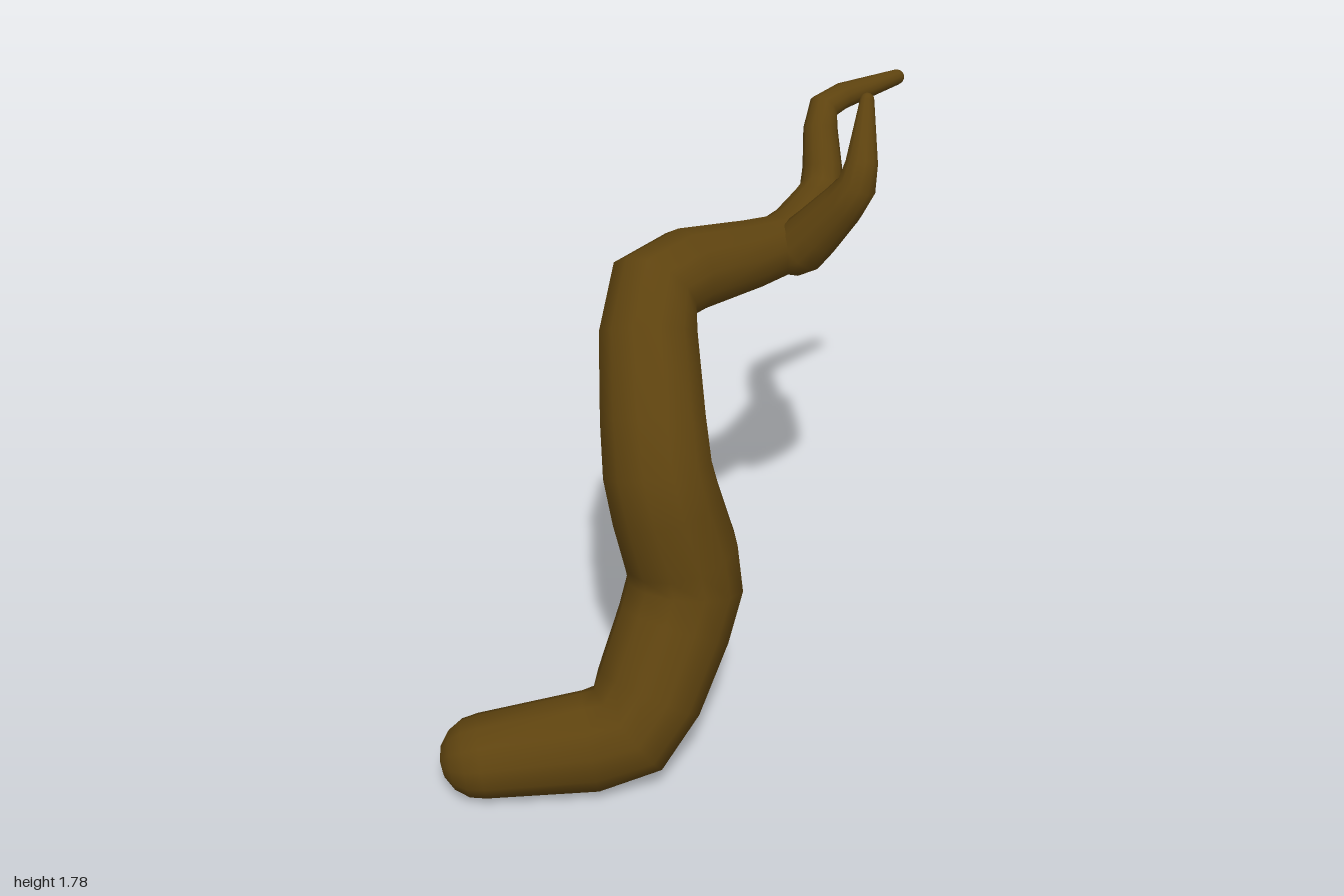
import * as THREE from 'three';

const SIDES = 12;

// Round each bend: enter, corner and exit samples, as Vector4 (x, y, z, radius)
function softenPath(points) {
  const p = points.map((a) => new THREE.Vector4(...a));
  const out = [p[0]];
  for (let i = 1; i < p.length - 1; i++) {
    const enter = p[i].clone().lerp(p[i - 1], 0.28);
    const exit = p[i].clone().lerp(p[i + 1], 0.28);
    const mid = enter.clone().lerp(exit, 0.5).lerp(p[i], 0.62);
    out.push(enter, mid, exit);
  }
  out.push(p[p.length - 1]);
  return out;
}

// Tapering limb with rounded ends, swept along a bent path
function limb(points, material, name) {
  const path = softenPath(points);
  const centres = path.map((q) => new THREE.Vector3(q.x, q.y, q.z));
  const last = path.length - 1;
  const tangents = centres.map((c, i) =>
    centres[Math.min(i + 1, last)].clone().sub(centres[Math.max(i - 1, 0)]).normalize());

  // Rings along the body plus domed caps
  const rings = [];
  const dome = (i, sign, k) => {
    const a = (k / 4) * Math.PI / 2;
    const r = path[i].w;
    rings.push({
      c: centres[i].clone().addScaledVector(tangents[i], sign * r * Math.sin(a)),
      t: tangents[i], r: Math.max(r * Math.cos(a), 0.0005),
    });
  };
  for (let k = 4; k > 0; k--) dome(0, -1, k);
  path.forEach((q, i) => rings.push({ c: centres[i], t: tangents[i], r: q.w }));
  for (let k = 1; k <= 4; k++) dome(last, 1, k);

  const positions = [], index = [];
  const normal = new THREE.Vector3(0, 1, 0.3);
  rings.forEach(({ c, t, r }, i) => {
    normal.addScaledVector(t, -normal.dot(t)).normalize();
    const side = t.clone().cross(normal);
    for (let j = 0; j < SIDES; j++) {
      const a = (j / SIDES) * Math.PI * 2;
      const v = c.clone().addScaledVector(normal, r * Math.cos(a)).addScaledVector(side, r * Math.sin(a));
      positions.push(v.x, v.y, v.z);
      if (i === 0) continue;
      const a0 = (i - 1) * SIDES + j, a1 = (i - 1) * SIDES + (j + 1) % SIDES;
      index.push(a0, a1, a0 + SIDES, a1, a1 + SIDES, a0 + SIDES);
    }
  });
  const geometry = new THREE.BufferGeometry();
  geometry.setAttribute('position', new THREE.Float32BufferAttribute(positions, 3));
  geometry.setIndex(index);
  geometry.computeVertexNormals();
  const mesh = new THREE.Mesh(geometry, material);
  mesh.name = name;
  return mesh;
}

export function createModel() {
  const group = new THREE.Group();
  group.name = 'branch';
  const bark = new THREE.MeshStandardMaterial({ color: 0x5e430f });
  bark.name = 'brown bark';

  // Thick stem, running on into the rear twig
  group.add(limb([
    [-0.305, 0.125, 0.875, 0.122],
    [0.07, 0.17, 0.67, 0.155],
    [0.13, 0.55, 0.405, 0.17],
    [0.05, 0.91, 0.45, 0.157],
    [-0.095, 1.36, 0.195, 0.135],
    [0.135, 1.315, -0.27, 0.09],
    [0.14, 1.375, -0.575, 0.065],
    [0.08, 1.61, -0.68, 0.047],
    [0.225, 1.62, -0.975, 0.024],
  ], bark, 'stem'));

  // Side twig forking upward
  group.add(limb([
    [0.12, 1.315, -0.25, 0.075],
    [0.19, 1.325, -0.255, 0.086],
    [0.37, 1.55, -0.245, 0.058],
    [0.343, 1.768, -0.358, 0.021],
  ], bark, 'sideTwig'));

  return group;
}
